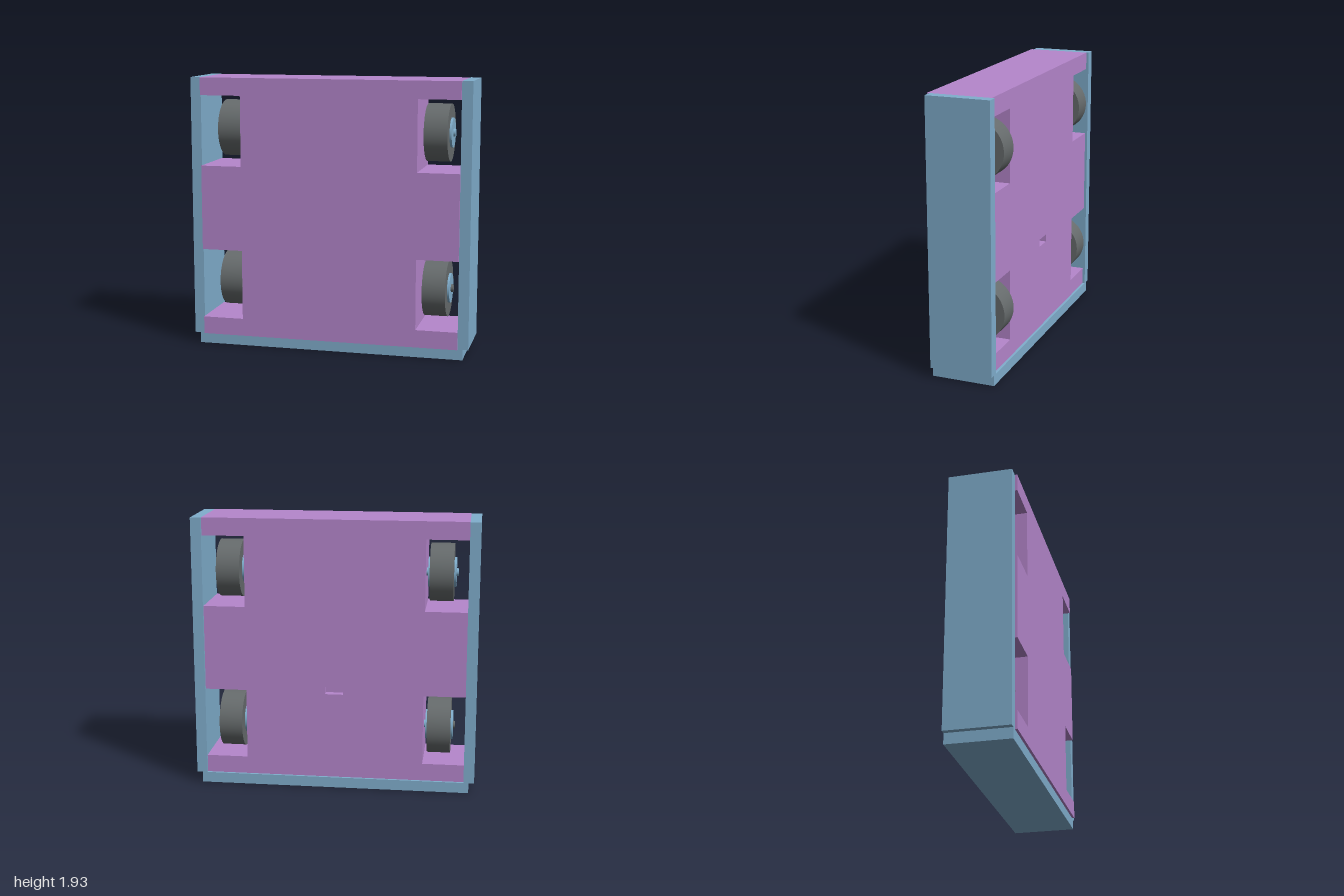
import * as THREE from 'three';

const mat = (name, color) => Object.assign(new THREE.MeshStandardMaterial({ color }), { name });

export function createModel() {
  const purple = mat('purple body', 0xb586cc);
  const blue = mat('blue panel', 0x80aecd);
  const grey = mat('dark grey rubber', 0x666b6c);
  const group = new THREE.Group();

  const add = (parent, name, geometry, material, x = 0, y = 0, z = 0) => {
    const mesh = new THREE.Mesh(geometry, material);
    mesh.name = name;
    mesh.position.set(x, y, z);
    parent.add(mesh);
    return mesh;
  };

  // Body outline: a block with two wheel notches on each side
  const W = 0.925, N = 0.63, Y0 = 0.075, Y1 = 1.93;
  const rightSide = [
    [W, Y0], [W, 0.2], [N, 0.2], [N, 0.7], [W, 0.7],
    [W, 1.305], [N, 1.305], [N, 1.805], [W, 1.805], [W, Y1],
  ];
  const outline = () => new THREE.Shape([
    ...rightSide.map(([x, y]) => new THREE.Vector2(x, y)),
    ...rightSide.slice().reverse().map(([x, y]) => new THREE.Vector2(-x, y)),
  ]);
  const layer = (shape, depth) => new THREE.ExtrudeGeometry(shape, { depth, bevelEnabled: false });

  // Solid front portion, and a back layer pierced by the small slot
  add(group, 'body', layer(outline(), 0.39), purple, 0, 0, -0.15);
  const back = outline();
  back.holes.push(new THREE.Path([
    [-0.065, 0.69], [-0.065, 0.743], [0.065, 0.743], [0.065, 0.69],
  ].map(([x, y]) => new THREE.Vector2(x, y))));
  add(group, 'slottedBack', layer(back, 0.055), purple, 0, 0, -0.205);

  // Outer panels
  const panelH = Y1 - Y0;
  for (const s of [-1, 1]) {
    add(group, s > 0 ? 'leftPanel' : 'rightPanel',
      new THREE.BoxGeometry(0.075, panelH, 0.445), blue, s * 0.9625, Y0 + panelH / 2, 0);
  }
  add(group, 'bottomPanel', new THREE.BoxGeometry(1.92, 0.075, 0.445), blue, 0, 0.0375, 0);

  // Wheels with hubs and axles
  const disc = (r, len) => new THREE.CylinderGeometry(r, r, len, 48).rotateZ(Math.PI / 2);
  for (const s of [-1, 1]) {
    for (const y of [0.448, 1.556]) {
      const wheel = new THREE.Group();
      wheel.name = 'wheel';
      wheel.position.set(s * 0.74, y, -0.04);
      add(wheel, 'tyre', disc(0.202, 0.164), grey);
      add(wheel, 'hub', disc(0.105, 0.194), blue);
      add(wheel, 'innerAxle', disc(0.027, 0.11), blue, -s * 0.055);
      add(wheel, 'outerAxle', disc(0.027, 0.112), y < 1 ? grey : blue, s * 0.056);
      group.add(wheel);
    }
  }
  return group;
}
